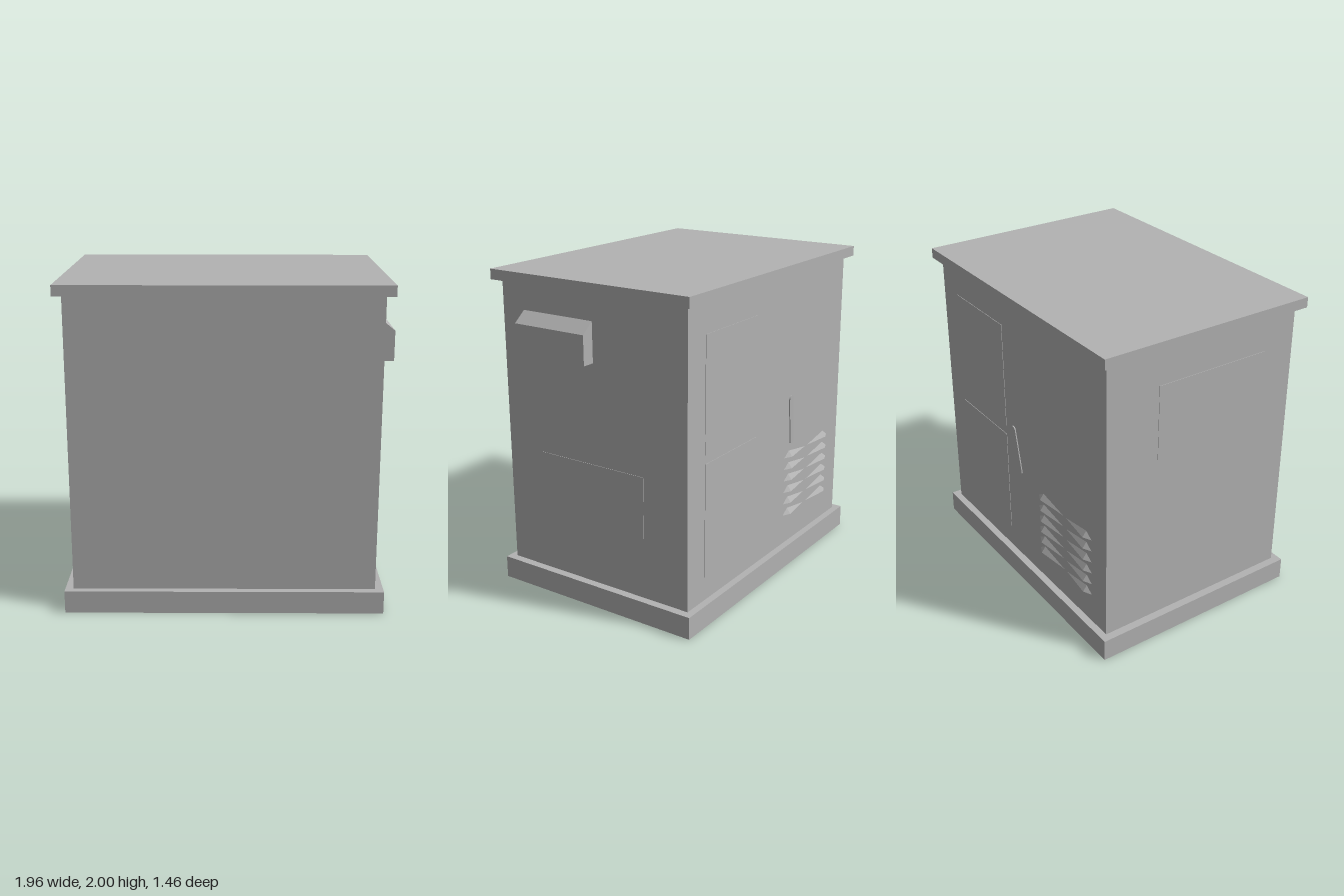
import * as THREE from 'three';

export function createModel() {
  const root = new THREE.Group();
  const grey = new THREE.MeshStandardMaterial({ color: 0xb2b2b2, side: THREE.DoubleSide });
  grey.name = 'cabinet grey';

  const add = (name, geometry) => {
    const mesh = new THREE.Mesh(geometry, grey);
    mesh.name = name;
    root.add(mesh);
    return mesh;
  };

  // Box given by its minimum and maximum corners
  const block = (x0, y0, z0, x1, y1, z1) =>
    new THREE.BoxGeometry(x1 - x0, y1 - y0, z1 - z0)
      .translate((x0 + x1) / 2, (y0 + y1) / 2, (z0 + z1) / 2);

  // Flat-shaded shell from convex polygons, fanned into triangles
  const shell = (polygons) => {
    const points = [];
    for (const p of polygons)
      for (let i = 1; i < p.length - 1; i++) points.push(...p[0], ...p[i], ...p[i + 1]);
    const g = new THREE.BufferGeometry();
    g.setAttribute('position', new THREE.Float32BufferAttribute(points, 3));
    g.computeVertexNormals();
    return g;
  };

  // Plinth: a box without its bottom face, hollow underneath
  const plinth = block(-0.985, 0, -0.675, 0.95, 0.14, 0.735);
  const faces = Array.from(plinth.index.array);
  faces.splice(18, 6);
  plinth.setIndex(faces);
  plinth.clearGroups();
  add('plinth', plinth);

  // Cabinet body and overhanging roof
  add('body', block(-0.935, 0.14, -0.63, 0.90, 1.937, 0.69));
  add('roof', block(-0.985, 1.937, -0.675, 0.95, 2, 0.735));

  // Thin access panels on the sides and back
  const t = 0.003;
  add('rightSidePanel', block(0.90, 0.435, -0.325, 0.90 + t, 0.905, 0.435));
  add('leftSidePanel', block(-0.935 - t, 1.24, -0.28, -0.935, 1.71, 0.475));
  add('upperBackPanel', block(0.165, 1.05, -0.63 - t, 0.725, 1.75, -0.63));
  add('lowerBackPanel', block(0.165, 0.29, -0.63 - t, 0.725, 0.995, -0.63));

  // Vent hood, open at the bottom and against the wall
  const profile = [[0.90, 1.525], [0.98, 1.525], [0.98, 1.705], [0.90, 1.77]];
  const [z0, z1] = [0.02, 0.53];
  const at = (i, z) => [...profile[i], z];
  const strip = (i) => [at(i, z1), at(i, z0), at(i + 1, z0), at(i + 1, z1)];
  add('ventHood', shell([
    strip(1), strip(2),
    profile.map((_, i) => at(i, z1)),
    profile.map((_, i) => at(3 - i, z0)),
  ]));

  // Pressed louvres: two mirrored columns, each scoop tapering to the middle
  const centre = -0.495, wall = -0.63;
  for (let row = 0; row < 6; row++) {
    const y = 0.34 + row * 0.08;
    for (const side of [1, -1]) {
      const x = (d) => centre + side * d;
      const outer = [x(0.29), y, wall], inner = [x(0.015), y, wall];
      const top = [x(0.235), y + 0.036, wall], lip = [x(0.235), y, wall - 0.027];
      const scoop = [[outer, top, lip], [top, inner, lip]];
      // Wind so that the outside faces the back
      if (side < 0) scoop.forEach((p) => p.reverse());
      add('louvre', shell(scoop));
    }
  }

  // Slim rounded door handle standing off the back
  const r = 0.022, half = 0.142;
  const outline = new THREE.Shape();
  outline.absarc(0, half, r, 0, Math.PI, false);
  outline.absarc(0, -half, r, Math.PI, 2 * Math.PI, false);
  const handle = add('handle', new THREE.ExtrudeGeometry(outline,
    { depth: 0.007, bevelEnabled: false, curveSegments: 6 }).translate(0, 0, -0.0035));
  handle.position.set(-0.115, 1.045, -0.72);
  handle.rotation.set(-0.04, 0, -0.14);

  return root;
}
